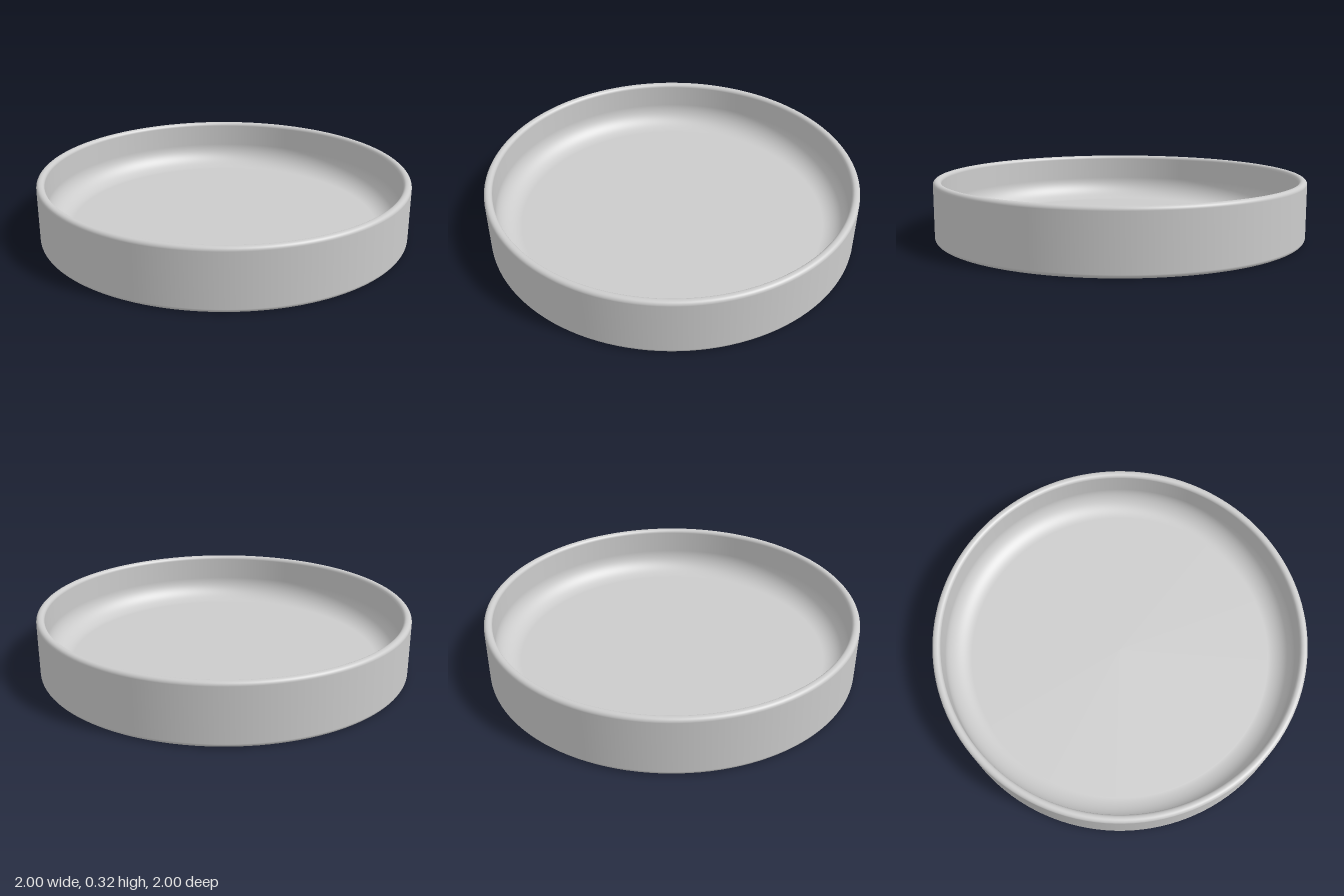
import * as THREE from 'three';

const HEIGHT = 0.32, OUTER = 1, INNER = 0.957, FLOOR = 0.05;
const EDGE = 0.02, FILLET = 0.125;

// Points of a circular arc in the profile plane, angles in quarter turns
function arc(cx, cy, r, from, to, steps) {
  return Array.from({ length: steps + 1 }, (_, i) => {
    const a = (from + (to - from) * i / steps) * Math.PI / 2;
    return new THREE.Vector2(cx + r * Math.cos(a), cy + r * Math.sin(a));
  });
}

export function createModel() {
  const group = new THREE.Group();
  group.name = 'roundTray';

  // Closed profile: underside, outer wall, rounded rim, inner wall, floor fillet, floor
  const profile = [
    new THREE.Vector2(0, 0),
    ...arc(OUTER - EDGE, EDGE, EDGE, -1, 0, 8),
    ...arc(OUTER - EDGE, HEIGHT - EDGE, EDGE, 0, 1, 8),
    ...arc(INNER + EDGE, HEIGHT - EDGE, EDGE, 1, 2, 8),
    ...arc(INNER - FILLET, FLOOR + FILLET, FILLET, 0, -1, 20),
    new THREE.Vector2(0, FLOOR),
  ];

  const tray = new THREE.Mesh(
    new THREE.LatheGeometry(profile, 128),
    new THREE.MeshStandardMaterial({ color: 0xcccccc })
  );
  tray.name = 'tray';
  group.add(tray);
  return group;
}
